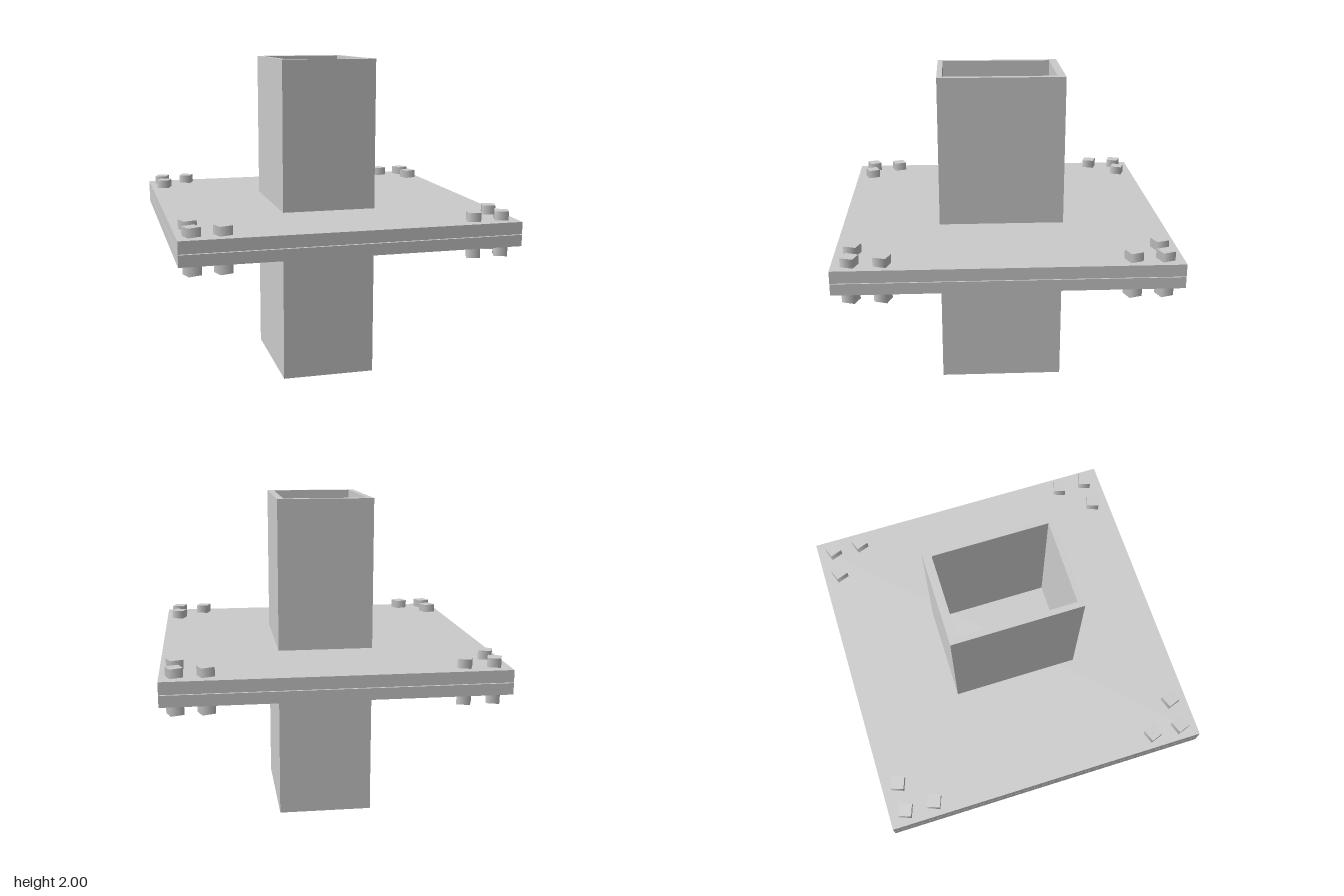
import * as THREE from 'three';

const material = new THREE.MeshStandardMaterial({ color: 0xcccccc });

function add(group, name, geometry, x, y, z) {
  const mesh = new THREE.Mesh(geometry, material);
  mesh.name = name;
  mesh.position.set(x, y, z);
  group.add(mesh);
  return mesh;
}

// Rectangle corners in plan; shape y becomes -z once laid flat
function rectangle(PathType, x0, x1, z0, z1) {
  return new PathType([[x0, -z1], [x1, -z1], [x1, -z0], [x0, -z0]]
    .map(([x, y]) => new THREE.Vector2(x, y)));
}

export function createModel() {
  const model = new THREE.Group();
  model.name = 'boltedColumnJoint';
  const plateBottom = 0.93, plateTop = 1.075, seam = 1.0, gap = 0.004;

  // Two flange plates separated by a fine seam
  const plate = (name, y0, y1) =>
    add(model, name, new THREE.BoxGeometry(2, y1 - y0, 2), 0, (y0 + y1) / 2, 0);
  plate('lowerPlate', plateBottom, seam - gap / 2);
  plate('upperPlate', seam + gap / 2, plateTop);

  // Hollow rectangular columns, closed off by the plates
  const section = rectangle(THREE.Shape, -0.295, 0.29, -0.38, 0.397);
  section.holes.push(rectangle(THREE.Path, -0.26, 0.249, -0.33, 0.364));
  const column = (name, y0, y1) => {
    const geometry = new THREE.ExtrudeGeometry(section, { depth: y1 - y0, bevelEnabled: false });
    geometry.rotateX(-Math.PI / 2);
    add(model, name, geometry, 0, y0, 0);
  };
  column('lowerColumn', 0, plateBottom);
  column('upperColumn', plateTop, 2);

  // Three square bolts at each corner, mirrored with their twist
  const bolts = new THREE.Group();
  bolts.name = 'bolts';
  model.add(bolts);
  const bolt = new THREE.CylinderGeometry(0.056, 0.056, 0.27, 4);
  for (const sx of [-1, 1]) {
    for (const sz of [-1, 1]) {
      for (const [x, z] of [[0.914, 0.895], [0.74, 0.895], [0.914, 0.713]]) {
        const mesh = add(bolts, 'bolt', bolt, sx * x, 0.994, sz * z);
        mesh.rotation.y = sx * sz * THREE.MathUtils.degToRad(25);
      }
    }
  }
  return model;
}
